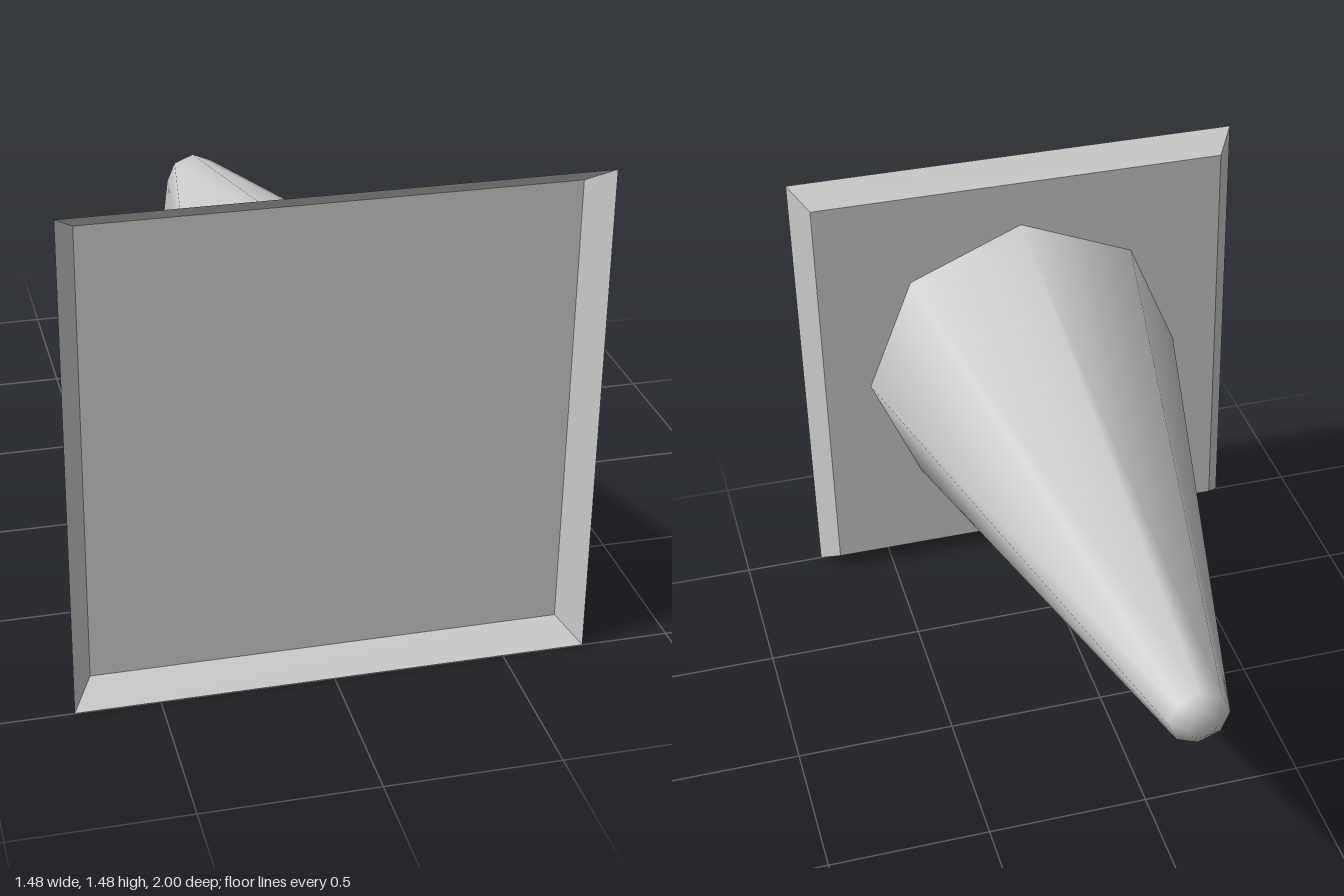
import * as THREE from 'three';

const CENTRE_Y = 0.742;

// Revolve a profile of [radius, depth] pairs so that depth runs from the front (z = 1) to the back
function revolve(profile, sides, startAngle = 0) {
  const points = profile.map(([r, d]) => new THREE.Vector2(r, d));
  return new THREE.LatheGeometry(points, sides, startAngle)
    .rotateX(-Math.PI / 2)
    .translate(0, CENTRE_Y, 1);
}

export function createModel() {
  const group = new THREE.Group();
  const grey = new THREE.MeshStandardMaterial({ color: 0xcccccc, side: THREE.DoubleSide });
  grey.name = 'light grey';

  const add = (name, geometry) => {
    const mesh = new THREE.Mesh(geometry, grey);
    mesh.name = name;
    group.add(mesh);
  };

  // Square base: a shallow tray with sloping rims, open at the front
  const d = Math.SQRT2;
  const base = revolve([[0.742 * d, 0], [0.684 * d, 0.084], [0, 0.084]], 4, Math.PI / 4).toNonIndexed();
  base.computeVertexNormals();
  add('base', base);

  // Smooth eight-sided cone with a rounded tip
  add('cone', revolve([[0.532, 0.084], [0.091, 1.965], [0.045, 2], [0, 2]], 8));

  return group;
}
